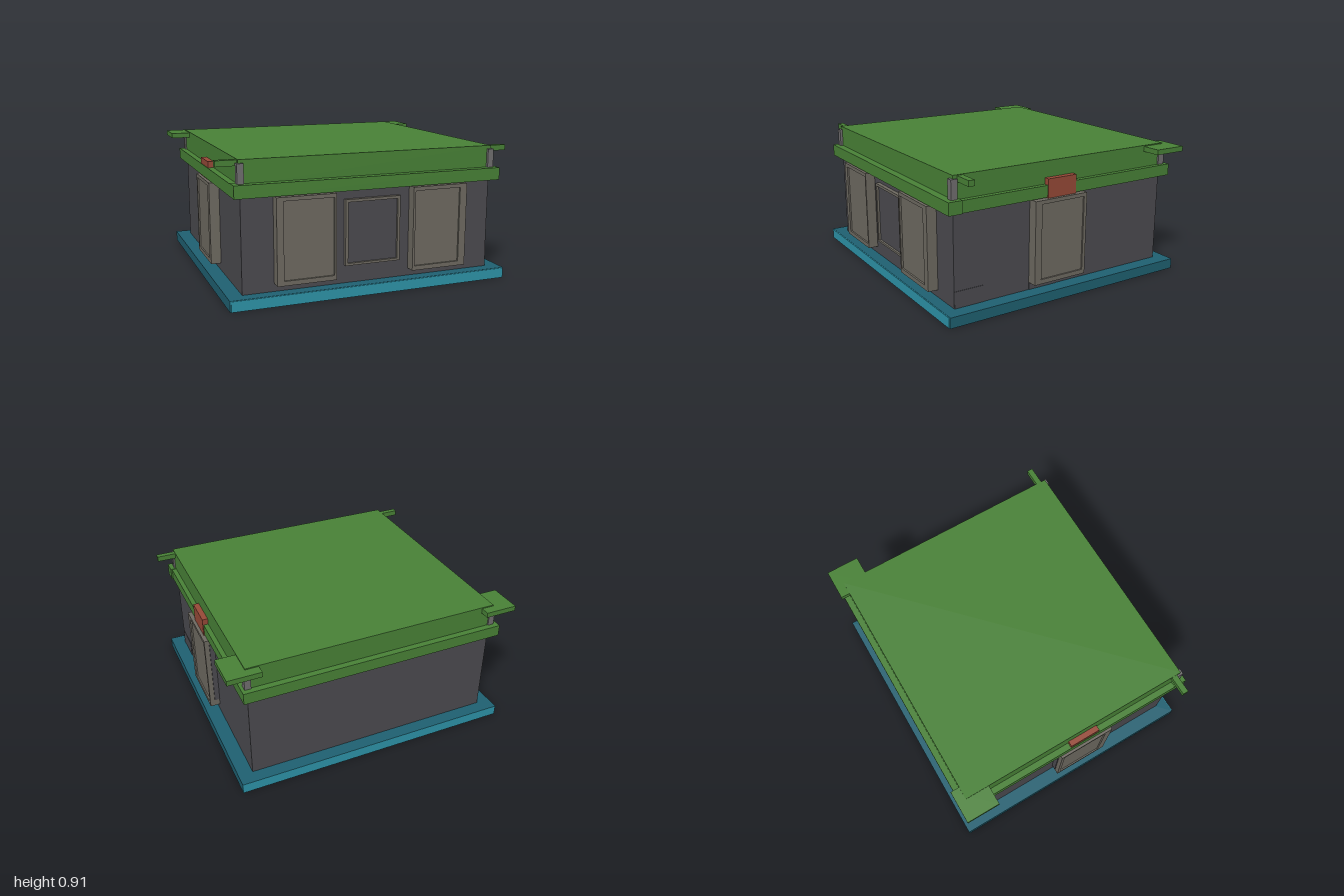
import * as THREE from 'three';

const mat = (name, color) => {
  const m = new THREE.MeshStandardMaterial({ color });
  m.name = name;
  return m;
};

export function createModel() {
  const root = new THREE.Group();
  root.name = 'building';
  const green = mat('roof green', 0x498337);
  const dark = mat('wall charcoal', 0x4c4b50);
  const taupe = mat('panel taupe', 0x6f6b62);
  const grey = mat('post grey', 0x716f70);
  const teal = mat('base teal', 0x1f6172);
  const lightTeal = mat('base edge teal', 0x2e95aa);
  const red = mat('sign red', 0x984a38);

  // Box given by its limits on each axis
  const box = (parent, name, m, x0, x1, y0, y1, z0, z1) => {
    const mesh = new THREE.Mesh(new THREE.BoxGeometry(x1 - x0, y1 - y0, z1 - z0), m);
    mesh.position.set((x0 + x1) / 2, (y0 + y1) / 2, (z0 + z1) / 2);
    mesh.name = name;
    parent.add(mesh);
    return mesh;
  };
  // Same box on both sides of x = 0
  const pair = (name, m, x0, x1, ...r) => {
    box(root, name + 'Left', m, x0, x1, ...r);
    box(root, name + 'Right', m, -x1, -x0, ...r);
  };

  // Frame in the local xy plane, backed by an inset sheet
  const framedPanel = (name, o, i, depth, recess, frameMat, fillMat) => {
    const g = new THREE.Group();
    g.name = name;
    const rect = (P, [x0, x1, y0, y1]) => {
      const p = new P();
      p.moveTo(x0, y0);
      p.lineTo(x1, y0);
      p.lineTo(x1, y1);
      p.lineTo(x0, y1);
      p.closePath();
      return p;
    };
    const shape = rect(THREE.Shape, o);
    shape.holes.push(rect(THREE.Path, i));
    const frame = new THREE.Mesh(
      new THREE.ExtrudeGeometry(shape, { depth, bevelEnabled: false }), frameMat);
    frame.name = name + 'Frame';
    g.add(frame);
    box(g, name + 'Inset', fillMat, i[0], i[1], i[2], i[3], 0, depth - recess);
    root.add(g);
    return g;
  };

  // Base slab: dark top and sides, lighter front, back and underside
  box(root, 'base', [teal, teal, teal, lightTeal, lightTeal, lightTeal],
    -0.957, 0.957, 0, 0.07, -0.903, 0.897);
  box(root, 'baseFrontEdge', lightTeal, -0.95, 0.95, 0, 0.068, 0.897, 0.903);

  // Walls
  box(root, 'walls', dark, -0.86, 0.86, 0.07, 0.69, -0.815, 0.817);
  box(root, 'cornerPlate', dark, 0.86, 0.863, 0.07, 0.18, 0.605, 0.815);
  box(root, 'lowPlate', dark, 0.86, 0.863, 0.07, 0.12, 0.06, 0.27);

  // Ledge and roof block; the ledge reaches further out on the right
  box(root, 'ledge', green, -0.91, 0.9, 0.68, 0.758, -0.87, 0.86);
  box(root, 'ledgeFront', green, -0.91, 0.91, 0.68, 0.762, 0.78, 0.872);
  box(root, 'roof', green, -0.868, 0.868, 0.75, 0.907, -0.828, 0.82);

  // Corner posts and overhanging caps
  pair('frontPost', grey, 0.838, 0.88, 0.76, 0.885, 0.795, 0.838);
  pair('backPost', grey, 0.838, 0.88, 0.76, 0.87, -0.838, -0.79);
  pair('frontCap', green, 0.86, 1, 0.865, 0.902, 0.75, 0.79);
  pair('backCap', green, 0.78, 1, 0.865, 0.9, -0.89, -0.66);

  // Red blocks over the side panels
  pair('sideSign', red, 0.86, 0.906, 0.672, 0.8, -0.055, 0.163);

  // Front panels
  framedPanel('frontPanelRight', [-0.655, -0.265, 0.12, 0.675], [-0.61, -0.28, 0.15, 0.65],
    0.07, 0.012, taupe, taupe).position.z = 0.815;
  framedPanel('frontPanelLeft', [0.265, 0.655, 0.12, 0.675], [0.28, 0.605, 0.15, 0.65],
    0.07, 0.012, taupe, taupe).position.z = 0.815;
  framedPanel('frontWindow', [-0.19, 0.19, 0.19, 0.62], [-0.172, 0.172, 0.205, 0.602],
    0.03, 0.015, taupe, dark).position.z = 0.815;

  // Side panels, turned to face outward
  for (const s of [1, -1]) {
    const flip = ([a, b, y0, y1]) => (s > 0 ? [-b, -a, y0, y1] : [a, b, y0, y1]);
    const p = framedPanel(s > 0 ? 'sidePanelLeft' : 'sidePanelRight',
      flip([-0.13, 0.27, 0.12, 0.675]), flip([-0.108, 0.22, 0.15, 0.65]),
      0.07, 0.01, taupe, taupe);
    p.rotation.y = s * Math.PI / 2;
    p.position.x = s * 0.857;
  }
  pair('sidePanelBacking', dark, 0.855, 0.895, 0.17, 0.64, -0.137, -0.1);

  return root;
}
